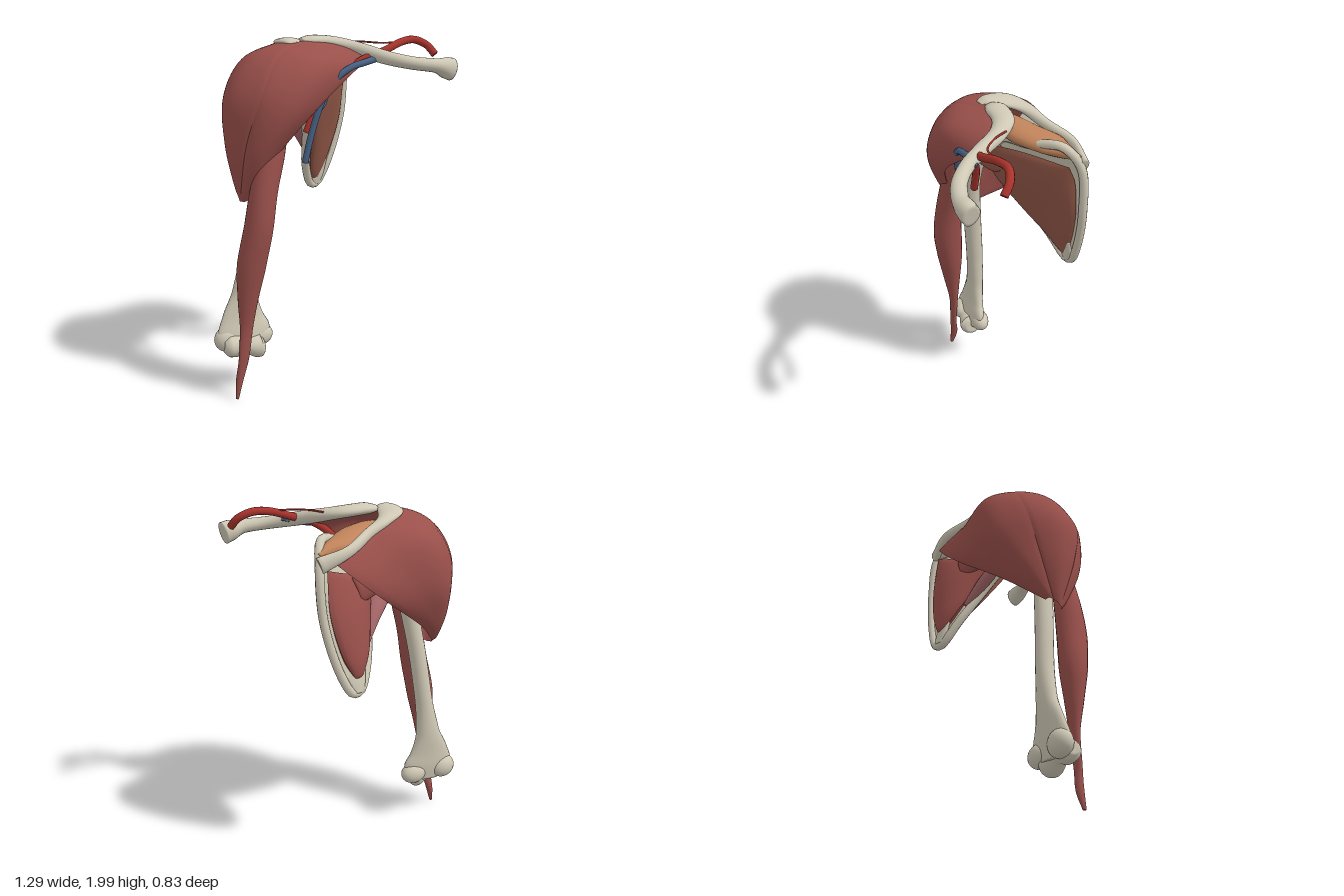
import * as THREE from 'three';

const V = (p) => new THREE.Vector3(p[0], p[1], p[2]);
const mat = (color) => new THREE.MeshStandardMaterial({ color });
const bone = mat(0xcfc8b5), muscle = mat(0x9a504b), deepMuscle = mat(0x935848), palePink = mat(0xa8686a);
const orange = mat(0xc0835a), arteryRed = mat(0xa8332c), veinBlue = mat(0x486487);

function geometry(positions, index) {
  const g = new THREE.BufferGeometry();
  g.setAttribute('position', new THREE.Float32BufferAttribute(positions, 3));
  g.setIndex(index);
  g.computeVertexNormals();
  return g;
}

// Closed smooth body through stations [x, y, z, radius along ref, radius across]
function loft(stations, ref, steps = 48, seg = 20) {
  const path = new THREE.CatmullRomCurve3(stations.map(V));
  const radii = new THREE.CatmullRomCurve3(stations.map((s) => V([s[3], s[4], 0])));
  const pos = [], index = [];
  const ring = (t, k) => {
    const c = path.getPoint(t), r = radii.getPoint(t), T = path.getTangent(t);
    const U = V(ref).addScaledVector(T, -V(ref).dot(T)).normalize();
    const W = new THREE.Vector3().crossVectors(T, U);
    for (let j = 0; j < seg; j++) {
      const a = (j / seg) * Math.PI * 2;
      const p = c.clone().addScaledVector(U, Math.cos(a) * r.x * k).addScaledVector(W, Math.sin(a) * r.y * k);
      pos.push(p.x, p.y, p.z);
    }
  };
  ring(0, 0);
  ring(0, 0.7);
  for (let i = 0; i <= steps; i++) ring(i / steps, 1);
  ring(1, 0.7);
  ring(1, 0);
  for (let i = 0; i < steps + 4; i++) for (let j = 0; j < seg; j++) {
    const a = i * seg + j, b = i * seg + ((j + 1) % seg);
    index.push(a, b, a + seg, b, b + seg, a + seg);
  }
  return geometry(pos, index);
}

// Curved sheet through columns of points, swelling to a lens of given half thickness
function sheet(columns, thickness, nu = 24, nv = 36) {
  const curves = columns.map((c) => new THREE.CatmullRomCurve3(c.map(V)));
  const pos = [], index = [];
  for (let j = 0; j <= nv; j++) {
    const across = new THREE.CatmullRomCurve3(curves.map((c) => c.getPoint(j / nv)));
    for (let i = 0; i <= nu; i++) pos.push(...across.getPoint(i / nu).toArray());
  }
  const w = nu + 1, count = w * (nv + 1);
  for (let j = 0; j < nv; j++) for (let i = 0; i < nu; i++) {
    const a = j * w + i;
    index.push(a, a + 1, a + w, a + 1, a + w + 1, a + w);
  }
  const normal = geometry(pos, index).attributes.normal;
  const both = [];
  for (const side of [1, -1]) for (let k = 0; k < count; k++) {
    const u = (k % w) / nu, v = Math.floor(k / w) / nv;
    const swell = Math.sqrt(Math.max(0, Math.sin(Math.PI * u) * Math.sin(Math.PI * v)));
    const d = side * thickness * swell;
    both.push(pos[k * 3] + normal.getX(k) * d, pos[k * 3 + 1] + normal.getY(k) * d, pos[k * 3 + 2] + normal.getZ(k) * d);
  }
  const faces = [...index];
  for (let k = 0; k < index.length; k += 3) faces.push(index[k] + count, index[k + 2] + count, index[k + 1] + count);
  return geometry(both, faces);
}

export function createModel() {
  const model = new THREE.Group();
  const add = (name, geo, material, parent = model) => {
    const m = new THREE.Mesh(geo, material);
    m.name = name;
    parent.add(m);
    return m;
  };
  const group = (name) => {
    const g = new THREE.Group();
    g.name = name;
    model.add(g);
    return g;
  };
  const ball = (name, p, s, parent) => {
    const m = add(name, new THREE.SphereGeometry(1, 24, 16), bone, parent);
    m.position.set(...p);
    m.scale.set(...s);
  };
  const X = [1, 0, 0], Y = [0, 1, 0];

  // Upper arm bone with its rounded head and elbow knobs
  const humerus = group('humerus');
  add('humerusShaft', loft([
    [-0.27, 1.74, -0.03, 0.09, 0.09], [-0.285, 1.6, 0, 0.075, 0.07], [-0.33, 1.4, 0.01, 0.052, 0.055],
    [-0.385, 1.1, -0.015, 0.05, 0.052], [-0.425, 0.8, -0.04, 0.052, 0.05], [-0.455, 0.58, -0.05, 0.075, 0.048],
    [-0.47, 0.45, -0.045, 0.125, 0.045], [-0.47, 0.36, -0.035, 0.16, 0.05], [-0.465, 0.27, -0.02, 0.13, 0.05],
  ], X), bone, humerus);
  ball('humerusHead', [-0.24, 1.73, -0.04], [0.12, 0.12, 0.12], humerus);
  ball('greaterTubercle', [-0.34, 1.73, -0.01], [0.07, 0.1, 0.08], humerus);
  ball('outerEpicondyle', [-0.565, 0.325, -0.045], [0.08, 0.075, 0.062], humerus);
  ball('innerEpicondyle', [-0.37, 0.315, -0.045], [0.08, 0.065, 0.055], humerus);
  // Elbow roller: waisted spool lying across the arm
  add('elbowRoller', loft([
    [-0.605, 0.3, 0, 0.035, 0.035], [-0.575, 0.298, 0.005, 0.06, 0.06], [-0.53, 0.295, 0.005, 0.062, 0.064],
    [-0.485, 0.29, 0, 0.045, 0.052], [-0.44, 0.28, 0, 0.06, 0.064], [-0.4, 0.272, 0, 0.07, 0.072], [-0.372, 0.275, 0, 0.045, 0.045],
  ], Y), bone, humerus);

  // Shoulder blade: columns run from the arm side to the spine side
  const blade = [
    [[-0.04, 1.8, -0.06], [-0.09, 1.68, -0.04], [0, 1.45, -0.16], [0.07, 1.22, -0.3], [0.135, 1.09, -0.365]],
    [[0.14, 1.84, -0.13], [0.14, 1.7, -0.21], [0.16, 1.47, -0.28], [0.17, 1.22, -0.34], [0.165, 1.08, -0.375]],
    [[0.3, 1.88, -0.245], [0.345, 1.77, -0.33], [0.34, 1.5, -0.36], [0.265, 1.22, -0.38], [0.195, 1.09, -0.385]],
  ];
  const scapula = group('scapula');
  add('blade', sheet(blade, 0.014), bone, scapula);
  const rim = [...blade[0], blade[1][4], ...[...blade[2]].reverse(), blade[1][0]];
  add('bladeRim', new THREE.TubeGeometry(new THREE.CatmullRomCurve3(rim.map(V), true), 90, 0.024, 10, true), bone, scapula);
  add('lowerCorner', loft([
    [0.172, 1.24, -0.345, 0.07, 0.015], [0.168, 1.15, -0.365, 0.06, 0.024], [0.165, 1.085, -0.378, 0.04, 0.025],
  ], X, 16, 16), bone, scapula);
  add('bladeSpine', loft([
    [0.35, 1.78, -0.345, 0.045, 0.025], [0.2, 1.835, -0.35, 0.03, 0.022], [0.05, 1.89, -0.26, 0.03, 0.025],
    [-0.07, 1.935, -0.2, 0.025, 0.042], [-0.15, 1.96, -0.11, 0.022, 0.068], [-0.16, 1.965, -0.02, 0.02, 0.055],
    [-0.155, 1.955, 0.02, 0.012, 0.035],
  ], Y), bone, scapula);
  const shelf = [
    [[0.34, 1.79, -0.345], [0.2, 1.83, -0.345], [0.05, 1.89, -0.26], [-0.07, 1.93, -0.2]],
    [[0.33, 1.76, -0.32], [0.2, 1.75, -0.25], [0.05, 1.75, -0.15], [-0.06, 1.77, -0.08]],
  ];
  add('spineShelf', sheet(shelf, 0.012, 8, 24), bone, scapula);
  ball('socket', [-0.1, 1.7, -0.05], [0.04, 0.1, 0.065], scapula);

  // Collar bone
  add('clavicle', loft([
    [-0.1, 1.965, -0.025, 0.018, 0.04], [-0.04, 1.968, -0.03, 0.03, 0.06], [0.07, 1.96, -0.02, 0.032, 0.058],
    [0.155, 1.938, 0.045, 0.035, 0.047], [0.215, 1.91, 0.145, 0.038, 0.04], [0.285, 1.88, 0.25, 0.037, 0.038],
    [0.39, 1.855, 0.335, 0.035, 0.04], [0.51, 1.84, 0.373, 0.038, 0.043], [0.58, 1.825, 0.37, 0.058, 0.05],
    [0.622, 1.815, 0.362, 0.062, 0.046],
  ], Y), bone);

  // Shoulder cap muscle: fibres from the origin down to the insertion, in three heads
  const fibres = [
    [[0.23, 1.89, 0.17], [0.03, 1.755, 0.2], [-0.14, 1.62, 0.22], [-0.31, 1.42, 0.16], [-0.46, 1.14, 0.05]],
    [[0.1, 1.945, 0.045], [-0.12, 1.85, 0.215], [-0.28, 1.66, 0.25], [-0.42, 1.42, 0.175], [-0.48, 1.13, 0.04]],
    [[-0.08, 1.97, 0.015], [-0.3, 1.905, 0.12], [-0.43, 1.72, 0.185], [-0.5, 1.45, 0.12], [-0.5, 1.13, 0.02]],
    [[-0.18, 1.965, -0.04], [-0.39, 1.875, -0.02], [-0.52, 1.68, 0], [-0.54, 1.45, 0], [-0.5, 1.15, 0]],
    [[-0.2, 1.955, -0.14], [-0.38, 1.865, -0.19], [-0.49, 1.68, -0.18], [-0.51, 1.42, -0.11], [-0.495, 1.16, -0.02]],
    [[-0.1, 1.93, -0.22], [-0.27, 1.82, -0.31], [-0.36, 1.6, -0.31], [-0.44, 1.4, -0.2], [-0.49, 1.17, -0.04]],
    [[0.08, 1.87, -0.28], [-0.05, 1.73, -0.335], [-0.2, 1.56, -0.335], [-0.36, 1.36, -0.22], [-0.47, 1.17, -0.05]],
    [[0.29, 1.8, -0.355], [0.1, 1.64, -0.38], [-0.08, 1.5, -0.345], [-0.3, 1.33, -0.22], [-0.46, 1.17, -0.05]],
  ];
  const deltoid = group('deltoid');
  add('frontHead', sheet(fibres.slice(0, 3), 0.025), muscle, deltoid);
  add('sideHead', sheet(fibres.slice(2, 5), 0.025), muscle, deltoid);
  add('rearHead', sheet(fibres.slice(4), 0.027), muscle, deltoid);

  // Front arm muscle tapering to a tendon
  add('biceps', loft([
    [-0.25, 1.7, 0.1, 0.025, 0.025], [-0.3, 1.55, 0.12, 0.045, 0.035], [-0.355, 1.38, 0.125, 0.07, 0.055],
    [-0.405, 1.2, 0.125, 0.075, 0.075], [-0.44, 1, 0.125, 0.078, 0.085], [-0.475, 0.8, 0.105, 0.082, 0.075],
    [-0.495, 0.6, 0.09, 0.06, 0.048], [-0.505, 0.42, 0.08, 0.038, 0.024], [-0.525, 0.24, 0.08, 0.03, 0.018],
    [-0.55, 0.11, 0.07, 0.02, 0.022], [-0.57, 0.01, 0.08, 0.008, 0.01],
  ], X), muscle);

  // Muscle on the rib side of the blade, deepening toward the arm
  const ribSide = [
    [[-0.02, 1.81, 0.07], [-0.02, 1.62, 0], [0.03, 1.42, -0.13], [0.08, 1.25, -0.26], [0.13, 1.13, -0.34]],
    [[0.14, 1.81, -0.08], [0.15, 1.65, -0.15], [0.16, 1.45, -0.25], [0.165, 1.28, -0.31], [0.165, 1.115, -0.355]],
    [[0.325, 1.77, -0.275], [0.325, 1.68, -0.31], [0.312, 1.48, -0.335], [0.25, 1.27, -0.355], [0.195, 1.13, -0.37]],
  ];
  add('subscapularis', sheet(ribSide, 0.035), deepMuscle);
  add('subscapularisTendon', loft([
    [0.08, 1.71, -0.08, 0.02, 0.01], [0, 1.72, 0, 0.085, 0.035], [-0.12, 1.73, 0.06, 0.07, 0.028], [-0.24, 1.72, 0.08, 0.03, 0.012],
  ], Y, 24, 16), deepMuscle);

  // Muscle on the outer face of the blade: a shrunk copy set behind it
  const outerFace = blade.map((c) => c.slice(1).map(([x, y, z]) =>
    [0.14 + (x - 0.15) * 0.87, 1.52 + (y - 1.5) * 0.85, -0.29 + (z + 0.27) * 0.85]));
  add('infraspinatus', sheet(outerFace, 0.045), muscle);
  add('infraspinatusTendon', loft([
    [0.12, 1.6, -0.27, 0.08, 0.03], [-0.02, 1.65, -0.22, 0.085, 0.045], [-0.16, 1.71, -0.18, 0.06, 0.03], [-0.31, 1.76, -0.1, 0.03, 0.015],
  ], Y, 24, 16), muscle);
  add('supraspinatus', loft([
    [0.345, 1.825, -0.32, 0.012, 0.014], [0.28, 1.835, -0.28, 0.035, 0.04], [0.19, 1.845, -0.23, 0.045, 0.085],
    [0.06, 1.86, -0.14, 0.05, 0.09], [-0.08, 1.87, -0.09, 0.045, 0.065], [-0.24, 1.84, -0.05, 0.02, 0.035],
  ], Y, 36, 18), orange);
  add('teresMinor', loft([
    [0.06, 1.32, -0.27, 0.02, 0.015], [-0.03, 1.47, -0.19, 0.05, 0.035], [-0.14, 1.58, -0.13, 0.055, 0.035], [-0.28, 1.67, -0.11, 0.025, 0.015],
  ], X, 24, 14), palePink);

  // Vessels
  const vessel = (name, points, r, material) =>
    add(name, loft(points.map((p) => [...p, r, r]), [0.3, 0.2, 0.93], 48, 12), material);
  vessel('artery', [
    [0.625, 1.885, 0.205], [0.595, 1.935, 0.165], [0.53, 1.965, 0.143], [0.44, 1.96, 0.158], [0.3, 1.915, 0.185],
    [0.15, 1.86, 0.17], [0.03, 1.75, 0.125], [-0.06, 1.62, 0.08], [-0.12, 1.48, 0.07],
  ], 0.021, arteryRed);
  vessel('arteryBranchUpper', [[0.46, 1.96, 0.155], [0.31, 1.955, 0.16], [0.23, 1.96, 0.09], [0.18, 1.96, 0.01]], 0.005, arteryRed);
  vessel('arteryBranchLower', [[-0.04, 1.65, 0.09], [-0.09, 1.66, 0.11], [-0.14, 1.63, 0.1], [-0.22, 1.6, 0.08]], 0.011, arteryRed);
  vessel('vein', [
    [-0.163, 1.33, 0.135], [-0.13, 1.49, 0.15], [-0.08, 1.66, 0.175], [-0.02, 1.77, 0.2], [0.07, 1.835, 0.215],
    [0.16, 1.86, 0.215], [0.24, 1.875, 0.2],
  ], 0.018, veinBlue);
  vessel('veinBranchOuter', [[0.22, 1.87, 0.2], [0.28, 1.88, 0.205], [0.335, 1.89, 0.23]], 0.006, veinBlue);
  vessel('veinBranchInner', [[-0.1, 1.6, 0.165], [-0.04, 1.65, 0.14], [-0.02, 1.73, 0.12]], 0.008, veinBlue);
  return model;
}
